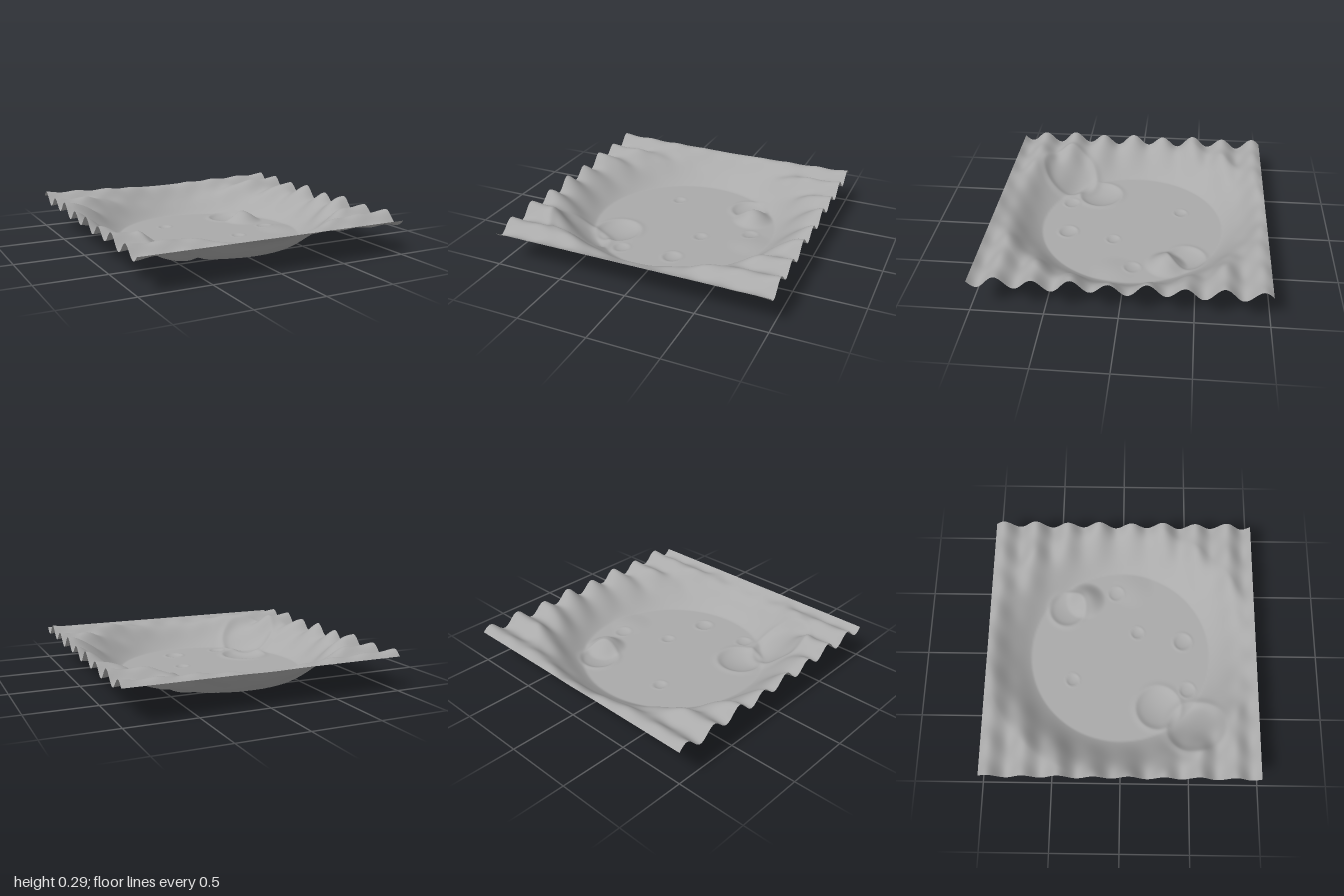
import * as THREE from 'three';

// Small bowls pressed into the ground: x, z, radius, depth, rim height
const craters = [
  [-0.43, 0.28, 0.17, 0.035, 0.006],
  [-0.60, 0.55, 0.21, 0.035, 0.010],
  [0.36, -0.43, 0.14, 0.025, 0.006],
  [-0.22, -0.37, 0.05, 0.010, 0.003],
  [0.17, 0.12, 0.05, 0.010, 0.003],
  [0.10, 0.47, 0.07, 0.013, 0.004],
  [-0.29, 0.50, 0.06, 0.010, 0.003],
  [0.50, -0.05, 0.06, 0.008, 0.003],
];

// Soft hills on the floor: x, z, radius, height
const mounds = [
  [0.44, -0.29, 0.16, 0.075],
  [0.55, 0.08, 0.18, 0.012],
];

// Wavy ground outside the basin: ridges running along x
function ripple(x, z) {
  const amp = 0.016 + 0.02 * x * x + 0.006 * Math.cos(8 * Math.PI * x);
  return amp * Math.sin(8 * Math.PI * z)
    + 0.009 * x * Math.cos(4 * Math.PI * (z - 0.27)) * (1 - z ** 4);
}

function heightAt(x, z) {
  // Flat basin floor, sloping wall and rippled plain
  const r = Math.hypot(x + 0.01, z + 0.01);
  const t = THREE.MathUtils.smoothstep(r, 0.61, 1.02);
  let y = Math.max(0.035, 0.015 + 0.23 * t + t * t * ripple(x, z));

  for (const [cx, cz, radius, depth, rim] of craters) {
    const d = Math.hypot(x - cx, z - cz) / radius;
    if (d < 1) y -= depth * (1 - d * d);
    y += rim * Math.exp(-(((d - 1) / 0.16) ** 2));
  }
  for (const [cx, cz, radius, height] of mounds) {
    const d = Math.hypot(x - cx, z - cz) / radius;
    if (d < 1) y += height * (1 - d * d) ** 2;
  }
  return Math.max(0, y);
}

export function createModel() {
  const group = new THREE.Group();
  group.name = 'crateredBasin';

  const rock = new THREE.MeshStandardMaterial({ color: 0xaaaaaa, side: THREE.DoubleSide });
  rock.name = 'grey rock';

  // One open sheet of ground
  const geometry = new THREE.PlaneGeometry(2, 2, 180, 180);
  geometry.rotateX(-Math.PI / 2);
  const p = geometry.attributes.position;
  for (let i = 0; i < p.count; i++) p.setY(i, heightAt(p.getX(i), p.getZ(i)));
  geometry.computeVertexNormals();

  const ground = new THREE.Mesh(geometry, rock);
  ground.name = 'ground';
  group.add(ground);
  return group;
}
